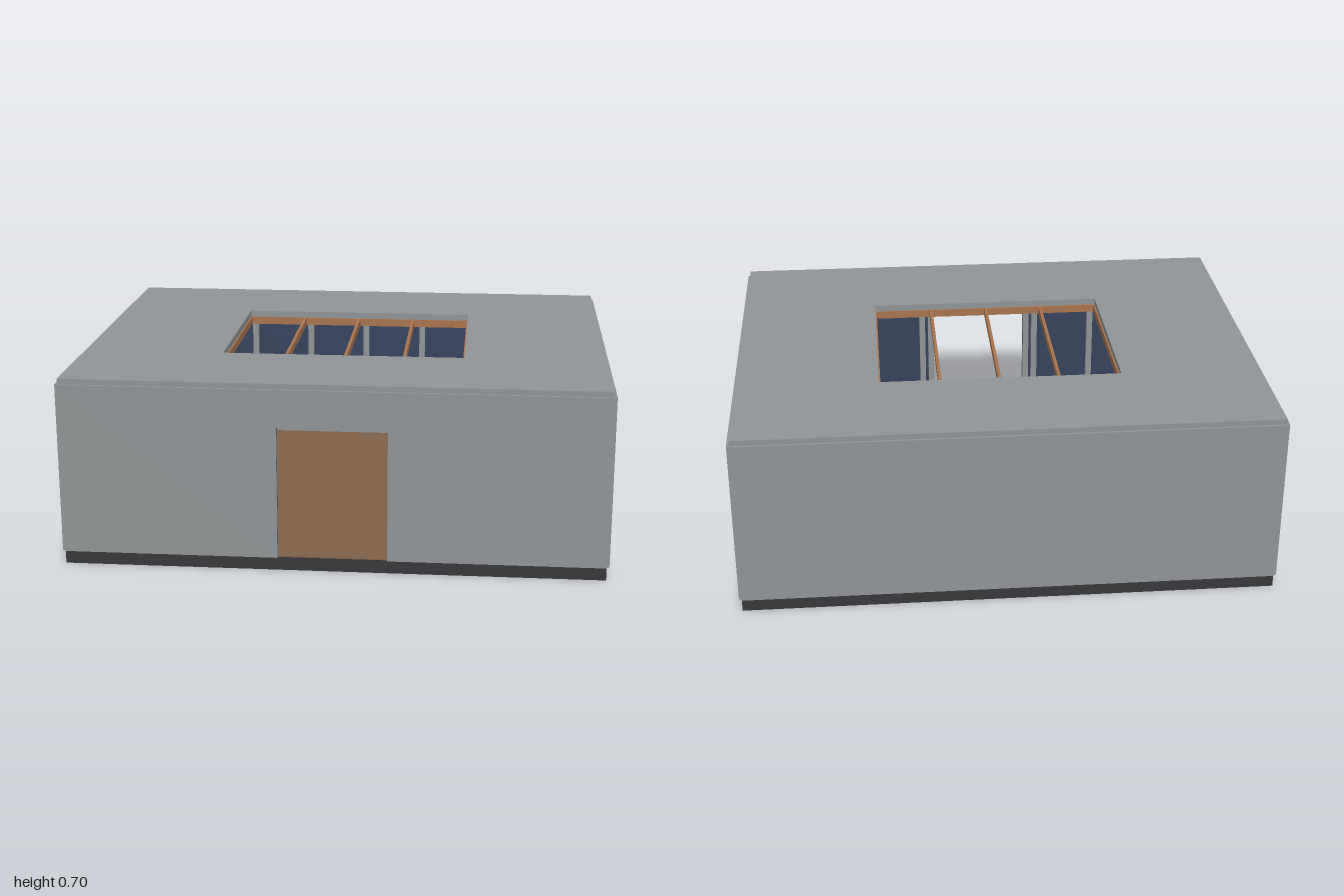
import * as THREE from 'three';

const mat = (name, color) => {
  const m = new THREE.MeshStandardMaterial({ color });
  m.name = name;
  return m;
};

export function createModel() {
  const grey = mat('grey cladding', 0x909496);
  const dark = mat('dark base', 0x38383c);
  const blue = mat('blue lining', 0x35425e);
  const timber = mat('timber', 0xa8734c);
  const board = mat('floor board', 0x7e6048);

  const root = new THREE.Group();
  root.name = 'building';
  const group = (name) => {
    const g = new THREE.Group();
    g.name = name;
    root.add(g);
    return g;
  };
  // Box between two corners
  const box = (parent, name, m, [x0, x1], [y0, y1], [z0, z1]) => {
    const mesh = new THREE.Mesh(new THREE.BoxGeometry(x1 - x0, y1 - y0, z1 - z0), m);
    mesh.position.set((x0 + x1) / 2, (y0 + y1) / 2, (z0 + z1) / 2);
    mesh.name = name;
    parent.add(mesh);
    return mesh;
  };
  const rect = (C, x0, x1, y0, y1) => {
    const s = new C();
    s.moveTo(x0, y0);
    s.lineTo(x1, y0);
    s.lineTo(x1, y1);
    s.lineTo(x0, y1);
    s.closePath();
    return s;
  };
  const slab = (shape, depth) => new THREE.ExtrudeGeometry(shape, { depth, bevelEnabled: false });

  const W = 0.99, D = 0.79, Y0 = 0.05, Y1 = 0.685, TOP = 0.705;
  const DOOR = 0.2, DOOR_TOP = 0.545;

  // Base and floor boards, with thin joints between the boards
  box(root, 'base', dark, [-W, W], [0, Y0], [-D, D]);
  const floor = group('floor');
  for (let i = -1; i <= 1; i++) {
    const z = i * 0.533;
    box(floor, 'floorBoard', board, [-0.985, 0.985], [Y0, Y0 + 0.004],
      [i < 0 ? -0.785 : z - 0.264, i > 0 ? 0.79 : z + 0.264]);
  }

  // One wall, built facing +z: cladding, lining, studs and rails
  const wall = (name, half, dist, step, angle, door) => {
    const g = group(name);
    g.rotation.y = angle;
    const sheet = (part, m, h, z, depth) => {
      const s = door
        ? new THREE.Shape([[-h, Y0], [-DOOR, Y0], [-DOOR, DOOR_TOP], [DOOR, DOOR_TOP],
          [DOOR, Y0], [h, Y0], [h, Y1], [-h, Y1]].map((p) => new THREE.Vector2(...p)))
        : rect(THREE.Shape, -h, h, Y0, Y1);
      const mesh = new THREE.Mesh(slab(s, depth), m);
      mesh.position.z = z;
      mesh.name = part;
      g.add(mesh);
    };
    sheet('cladding', grey, half, dist, 0.01);
    sheet('lining', blue, half - 0.002, dist - 0.005, 0.005);

    const zs = [dist - 0.027, dist - 0.005];
    const n = Math.floor((half - 0.03) / step);
    const studs = [-half + 0.03, half - 0.03];
    for (let i = -n; i <= n; i++) studs.push(i * step);
    if (door) studs.push(-0.2125, 0.2125);
    for (const x of studs) {
      const low = door && Math.abs(x) < DOOR ? DOOR_TOP : Y0;
      box(g, 'stud', grey, [x - 0.0125, x + 0.0125], [low, 0.68], zs);
    }
    // Bottom rails stop at the doorway
    const spans = door ? [[-half + 0.02, -DOOR], [DOOR, half - 0.02]] : [[-half + 0.02, half - 0.02]];
    const zr = [dist - 0.025, dist - 0.005];
    for (const s of spans) {
      box(g, 'bottomPlate', grey, s, [Y0, 0.07], zr);
      box(g, 'bottomRail', timber, s, [0.07, 0.095], zr);
    }
    box(g, 'topRail', timber, [-half + 0.02, half - 0.02], [0.655, 0.68], zr);
    if (door) box(g, 'doorHead', grey, [-DOOR, DOOR], [DOOR_TOP, DOOR_TOP + 0.025], zr);
  };
  wall('frontWall', W, D, 0.25, 0, true);
  wall('backWall', W, D, 0.25, Math.PI, false);
  wall('leftWall', D, W, 0.2667, Math.PI / 2, false);
  wall('rightWall', D, W, 0.2667, -Math.PI / 2, false);

  // Flat roof with a rectangular opening
  const HX = 0.458, HZ = 0.362;
  const roofShape = rect(THREE.Shape, -W, W, -D, D);
  roofShape.holes.push(rect(THREE.Path, -HX, HX, -HZ, HZ));
  const roof = new THREE.Mesh(slab(roofShape, TOP - 0.68), grey);
  roof.rotation.x = -Math.PI / 2;
  roof.position.y = 0.68;
  roof.name = 'roof';
  root.add(roof);

  // Timber frame and beams under the opening
  const frame = group('skylightFrame');
  const fy = [0.65, 0.68];
  for (const s of [-1, 1]) {
    const span = (a, b) => (s > 0 ? [a, b] : [-b, -a]);
    box(frame, 'frameSide', timber, span(HX - 0.006, HX + 0.014), fy, [-HZ - 0.014, HZ + 0.014]);
    box(frame, 'frameEnd', timber, [-HX, HX], fy, span(HZ - 0.006, HZ + 0.014));
  }
  for (const x of [-0.227, 0, 0.227]) {
    box(frame, 'beam', timber, [x - 0.006, x + 0.006], fy, [-HZ, HZ]);
  }
  return root;
}
